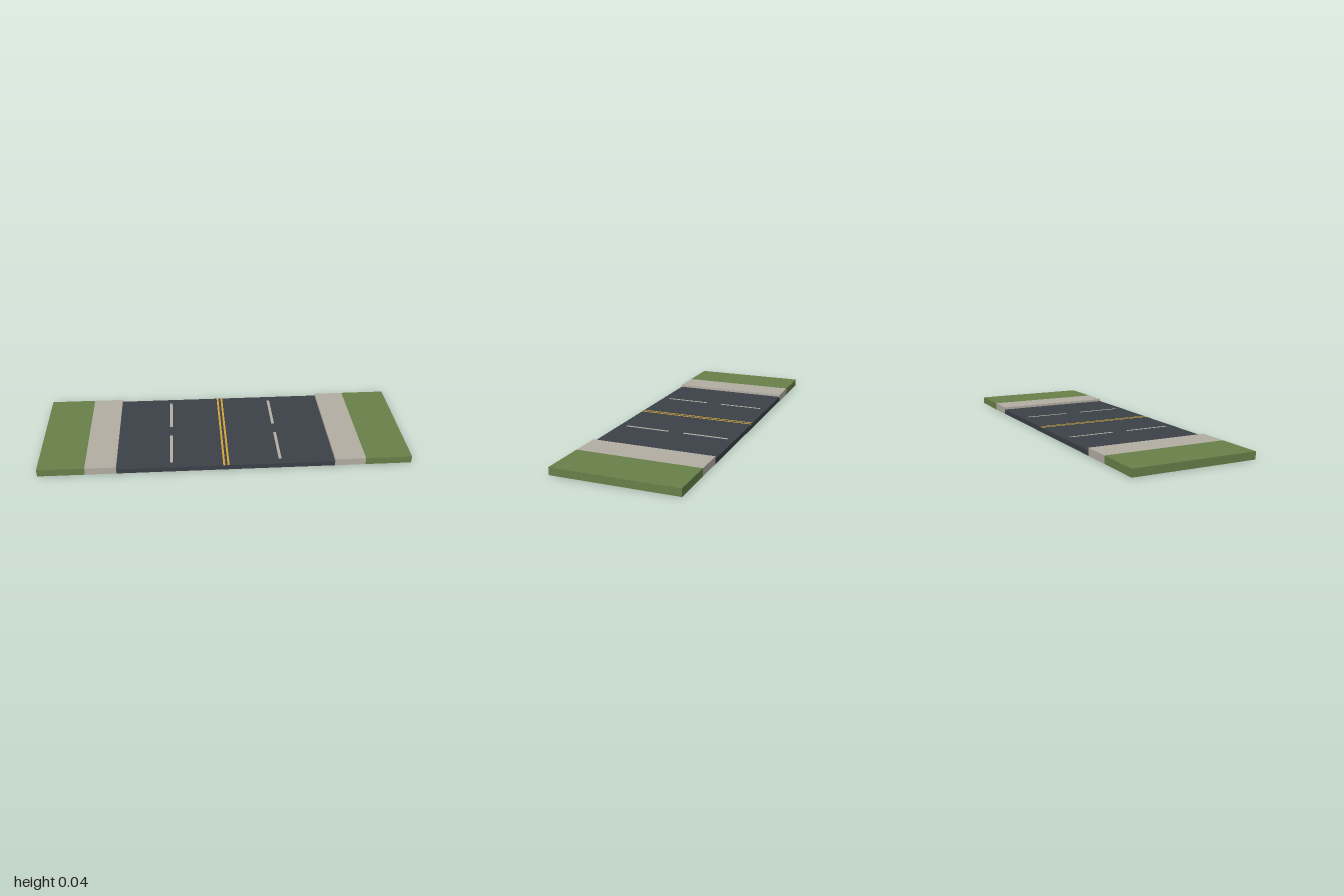
import * as THREE from 'three';

const LENGTH = 0.667, ROAD_TOP = 0.027, KERB_TOP = 0.04;
const ROAD_EDGE = 0.584, GRASS_EDGE = 0.75;

function material(name, color) {
  const m = new THREE.MeshStandardMaterial({ color, side: THREE.DoubleSide });
  m.name = name;
  return m;
}

// Hollow box from y = 0 to height, keeping only the listed sides
const SIDES = ['px', 'nx', 'top', 'bottom', 'front', 'back'];
function shell(name, x0, x1, height, keep, mat) {
  const geo = new THREE.BoxGeometry(x1 - x0, height, LENGTH);
  const index = Array.from(geo.index.array);
  geo.setIndex(keep.flatMap((side) => {
    const i = SIDES.indexOf(side) * 6;
    return index.slice(i, i + 6);
  }));
  geo.clearGroups();
  geo.translate((x0 + x1) / 2, height / 2, 0);
  const mesh = new THREE.Mesh(geo, mat);
  mesh.name = name;
  return mesh;
}

// Flat painted strip just above the asphalt
function marking(name, x, z, width, length, mat) {
  const geo = new THREE.PlaneGeometry(width, length).rotateX(-Math.PI / 2);
  const mesh = new THREE.Mesh(geo, mat);
  mesh.position.set(x, ROAD_TOP + 0.001, z);
  mesh.name = name;
  return mesh;
}

export function createModel() {
  const asphalt = material('asphalt', 0x3c4148);
  const concrete = material('concrete', 0xb3aea3);
  const grass = material('grass', 0x688049);
  const yellow = material('yellow paint', 0xd2a437);

  const model = new THREE.Group();
  model.name = 'roadSection';

  // Carriageway, open underneath
  model.add(shell('road', -ROAD_EDGE, ROAD_EDGE, ROAD_TOP, ['top', 'front', 'back'], asphalt));

  for (const s of [-1, 1]) {
    const side = s > 0 ? 'left' : 'right';
    const span = (a, b) => (s > 0 ? [a, b] : [-b, -a]);
    const inner = s > 0 ? 'nx' : 'px', outer = s > 0 ? 'px' : 'nx';

    // Pavement and verge share one hollow raised block
    model.add(shell(side + 'Pavement', ...span(ROAD_EDGE, GRASS_EDGE), KERB_TOP,
      ['top', 'front', 'back', inner], concrete));
    model.add(shell(side + 'Verge', ...span(GRASS_EDGE, 1), KERB_TOP,
      ['top', 'front', 'back', outer], grass));

    // Double centre line and dashed lane lines
    model.add(marking(side + 'CentreLine', s * 0.0115, 0, 0.011, LENGTH, yellow));
    for (const z of [-0.169, 0.167]) {
      model.add(marking(side + 'LaneDash', s * 0.292, z, 0.016, 0.25, concrete));
    }
  }
  return model;
}
